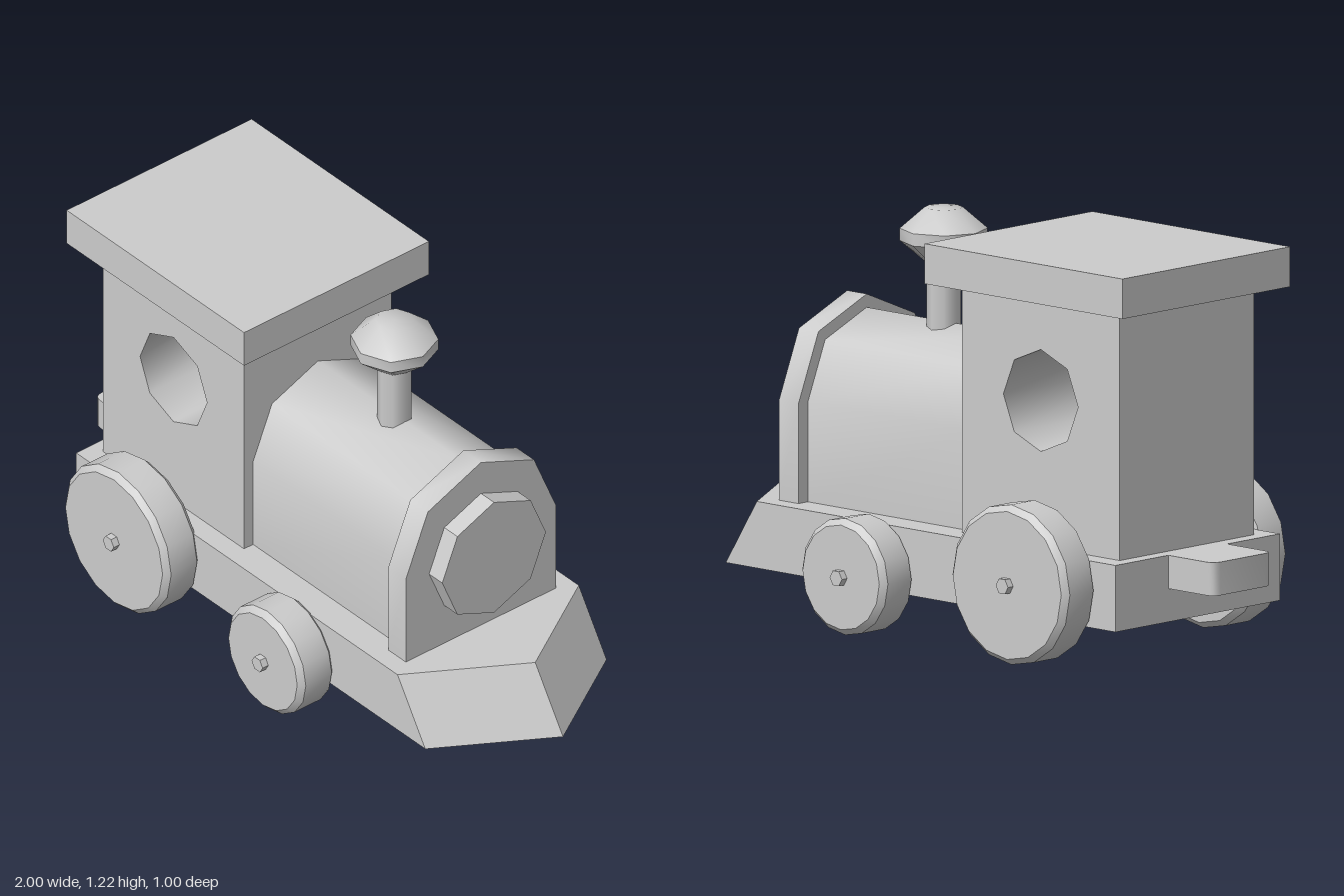
import * as THREE from 'three';
import { toCreasedNormals } from 'three/addons/utils/BufferGeometryUtils.js';

const CREASE = 0.9;

export function createModel() {
  const train = new THREE.Group();
  train.name = 'toyLocomotive';
  const grey = new THREE.MeshStandardMaterial({ color: 0xcccccc });

  function add(name, geometry, x = 0, y = 0, z = 0) {
    const mesh = new THREE.Mesh(geometry, grey);
    mesh.name = name;
    mesh.position.set(x, y, z);
    train.add(mesh);
    return mesh;
  }
  const extrude = (shape, depth) =>
    new THREE.ExtrudeGeometry(shape, { depth, bevelEnabled: false, curveSegments: 4 });
  const polygon = (pts) => new THREE.Shape(pts.map(([x, y]) => new THREE.Vector2(x, y)));
  const lathe = (pts, sides) =>
    new THREE.LatheGeometry(pts.map(([r, y]) => new THREE.Vector2(r, y)), sides);

  // Chassis: pointed plan, with the nose raked back towards the top
  const chassis = extrude(polygon([
    [-0.815, -0.35], [0.78, -0.35], [0.995, 0], [0.78, 0.35], [-0.815, 0.35],
  ]), 0.2).rotateX(-Math.PI / 2);
  const p = chassis.attributes.position;
  for (let i = 0; i < p.count; i++) {
    if (p.getY(i) > 0.1 && p.getX(i) > 0) p.setX(i, p.getX(i) - 0.127);
  }
  chassis.computeVertexNormals();
  add('chassis', chassis, 0, 0.125);

  // Rear coupler with rounded outer corners
  const plan = new THREE.Shape();
  plan.moveTo(-0.8, -0.125);
  plan.lineTo(-0.8, 0.125);
  plan.lineTo(-0.97, 0.125);
  plan.quadraticCurveTo(-1, 0.125, -1, 0.095);
  plan.lineTo(-1, -0.095);
  plan.quadraticCurveTo(-1, -0.125, -0.97, -0.125);
  add('coupler', toCreasedNormals(extrude(plan, 0.1).rotateX(-Math.PI / 2), CREASE), 0, 0.225);

  // Cab with an octagonal window bored right through
  const side = polygon([[-0.77, 0.325], [-0.125, 0.325], [-0.125, 1.07], [-0.77, 1.07]]);
  const windowPts = [];
  for (let i = 0; i < 8; i++) {
    const a = -i * Math.PI / 4;
    windowPts.push(new THREE.Vector2(-0.447 + 0.153 * Math.cos(a), 0.763 + 0.153 * Math.sin(a)));
  }
  side.holes.push(new THREE.Path(windowPts));
  add('cab', toCreasedNormals(extrude(side, 0.57), CREASE), 0, 0, -0.285);
  add('roof', new THREE.BoxGeometry(0.81, 0.12, 0.714), -0.445, 1.13);

  // Boiler and its front plate: arches with a half-octagon top
  function arch(r, length) {
    const pts = [[-r, 0.325], [r, 0.325]];
    for (let i = 0; i <= 4; i++) {
      const a = i * Math.PI / 4;
      pts.push([r * Math.cos(a), 0.625 + r * Math.sin(a)]);
    }
    return toCreasedNormals(extrude(polygon(pts), length).rotateY(Math.PI / 2), CREASE);
  }
  add('boiler', arch(0.25, 0.67), -0.13);
  add('frontPlate', arch(0.29, 0.08), 0.54);

  // Faceted octagonal door on the front plate
  const door = new THREE.CylinderGeometry(0.2, 0.2, 0.07, 8).rotateZ(Math.PI / 2).toNonIndexed();
  door.computeVertexNormals();
  add('smokeboxDoor', door, 0.645, 0.603);

  // Chimney
  add('chimneyStem', new THREE.CylinderGeometry(0.051, 0.051, 0.26, 8), 0.225, 0.95);
  const cap = lathe([
    [0, 1.055], [0.056, 1.055], [0.13, 1.117], [0.13, 1.154], [0.057, 1.217], [0, 1.217],
  ], 8);
  add('chimneyCap', toCreasedNormals(cap, 0.8), 0.225);

  // Bevelled wheels and hexagonal axles
  const b = 0.018;
  const h = 0.068;
  for (const [label, x, r] of [['rear', -0.493, 0.24], ['front', 0.187, 0.175]]) {
    const wheel = toCreasedNormals(lathe([
      [0, -h], [r - b, -h], [r, b - h], [r, h - b], [r - b, h], [0, h],
    ], 16).rotateX(Math.PI / 2), 0.6);
    for (const [hand, s] of [['Left', -1], ['Right', 1]]) {
      // facing the +x nose, the engine's left is -z
      add(`${label}Wheel${hand}`, wheel, x, r, s * 0.408);
    }
    const axle = new THREE.CylinderGeometry(0.025, 0.025, 0.996, 6)
      .rotateY(Math.PI / 2).rotateX(Math.PI / 2).toNonIndexed();
    axle.computeVertexNormals();
    add(`${label}Axle`, axle, x, r);
  }

  return train;
}
